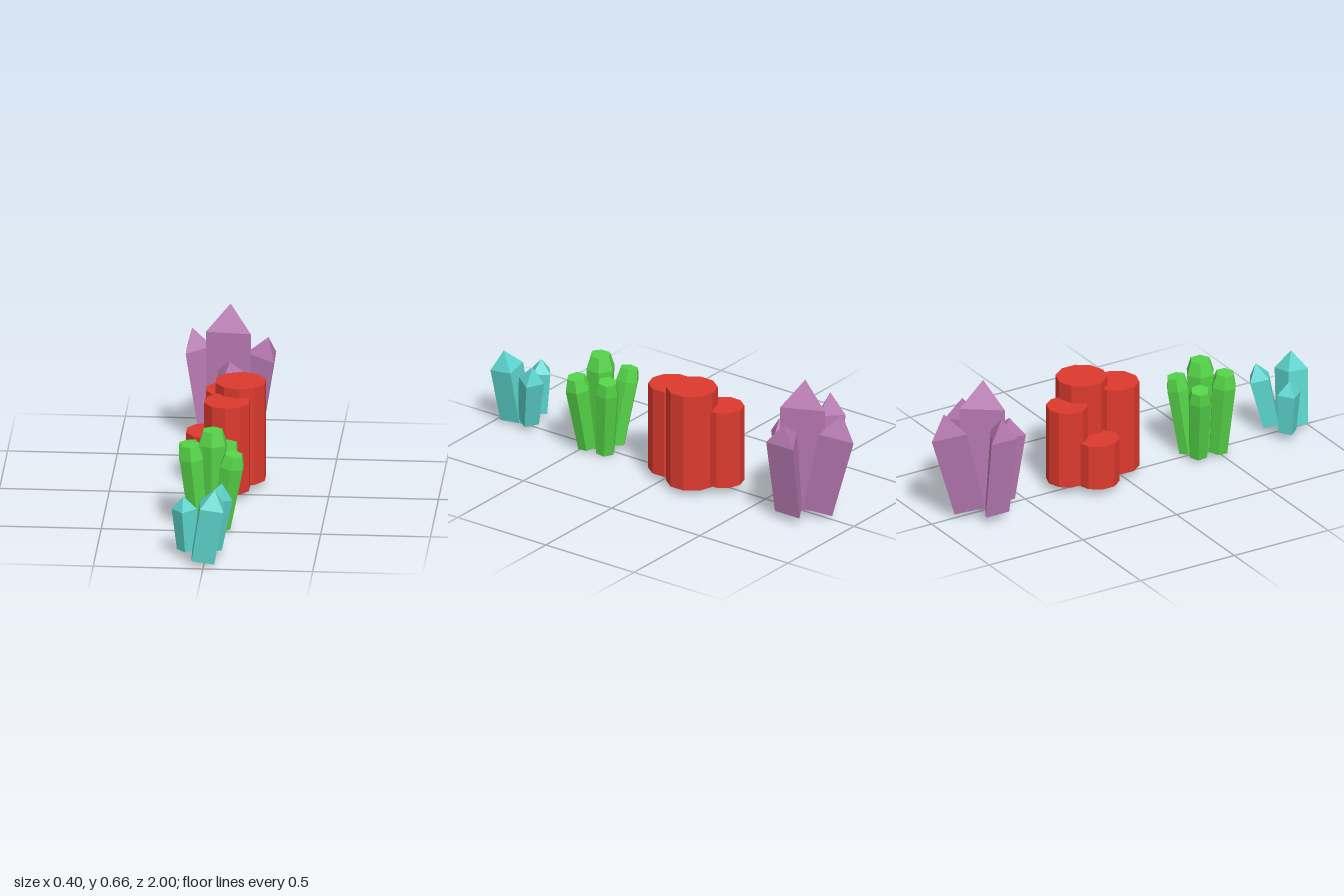
import * as THREE from 'three';

const UP = new THREE.Vector3(0, 1, 0);

// Faceted prism from a base point to a top point: r0 at the base, r1 at the
// shoulder (a fraction of the length), rTop at the end (0 gives a pointed tip).
function crystal(name, material, { base, top, shoulder, r0, r1, rTop = 0, sides, rot = 0 }) {
  const start = new THREE.Vector3(...base);
  const axis = new THREE.Vector3(...top).sub(start);
  const length = axis.length();
  const profile = [[0, 0], [r0, 0], [r1, length * shoulder], [rTop, length]];
  if (rTop > 0) profile.push([0, length]);
  const points = profile.map(([r, y]) => new THREE.Vector2(r, y));
  const geometry = new THREE.LatheGeometry(points, sides, rot).toNonIndexed();
  geometry.computeVertexNormals();
  const mesh = new THREE.Mesh(geometry, material);
  mesh.name = name;
  mesh.position.copy(start);
  mesh.quaternion.setFromUnitVectors(UP, axis.normalize());
  return mesh;
}

function cluster(name, color, shared, parts) {
  const material = new THREE.MeshStandardMaterial({ color, flatShading: true });
  const group = new THREE.Group();
  group.name = name;
  for (const [partName, options] of Object.entries(parts)) {
    group.add(crystal(partName, material, { ...shared, ...options }));
  }
  return group;
}

export function createModel() {
  const model = new THREE.Group();
  model.name = 'crystalClusters';

  // Three squat four-sided points
  model.add(cluster('cyanCluster', 0x5cd3cc, { sides: 4, shoulder: 0.76 }, {
    frontPoint: { base: [-0.005, 0.025, 0.92], top: [0.05, 0.365, 0.948], r0: 0.074, r1: 0.077, rot: 0.85 },
    rightPoint: { base: [-0.085, 0.04, 0.845], top: [-0.1, 0.295, 0.847], r0: 0.046, r1: 0.058, rot: -0.1 },
    backPoint: { base: [0.025, 0.035, 0.825], top: [0.07, 0.335, 0.772], r0: 0.05, r1: 0.062, rot: 0.26 },
  }));

  // Five hexagonal columns with chamfered flat tops
  model.add(cluster('greenCluster', 0x55d348, { sides: 6, shoulder: 0.84, r0: 0.046, r1: 0.061, rTop: 0.044 }, {
    centerColumn: { base: [0.003, 0.012, 0.435], top: [0.003, 0.468, 0.435], shoulder: 0.86, r0: 0.05, r1: 0.07, rTop: 0.049 },
    frontRightColumn: { base: [-0.056, 0.018, 0.495], top: [-0.092, 0.422, 0.508] },
    frontLeftColumn: { base: [0.048, 0.017, 0.475], top: [0.104, 0.377, 0.498] },
    backRightColumn: { base: [-0.052, 0.022, 0.39], top: [-0.117, 0.38, 0.36], r1: 0.056 },
    backLeftColumn: { base: [0.032, 0.008, 0.387], top: [0.068, 0.38, 0.345], r1: 0.056 },
  }));

  // Four upright ten-sided pillars of different heights
  const pillar = (x, z, r, bottom, top) => ({
    base: [x, bottom, z], top: [x, top, z], shoulder: 0.5, r0: r, r1: r, rTop: r,
  });
  model.add(cluster('redPillars', 0xdd3a2e, { sides: 10 }, {
    tallPillar: pillar(0.088, -0.147, 0.118, 0.03, 0.498),
    frontPillar: pillar(0.037, 0.006, 0.107, 0.033, 0.455),
    backPillar: pillar(0.013, -0.27, 0.095, 0.04, 0.412),
    shortPillar: pillar(-0.062, -0.155, 0.102, 0.035, 0.25),
  }));

  // Tall triangular spire ringed by four leaning ones
  model.add(cluster('purpleCluster', 0xb678b0, { sides: 3, shoulder: 0.8, r0: 0.078, r1: 0.088 }, {
    centerSpire: { base: [0, 0.035, -0.725], top: [0, 0.66, -0.725], shoulder: 0.805, r0: 0.12, r1: 0.12, rot: Math.PI - 0.1 },
    rightSpire: { base: [-0.105, 0.045, -0.735], top: [-0.176, 0.535, -0.735], r0: 0.072, r1: 0.079, rot: Math.PI / 2 },
    leftSpire: { base: [0.105, 0.045, -0.73], top: [0.172, 0.5, -0.73], r0: 0.08, rot: -Math.PI / 2 },
    backSpire: { base: [0, 0.04, -0.8], top: [0, 0.54, -0.935], r0: 0.08, r1: 0.094, rot: Math.PI },
    frontSpire: { base: [0.008, 0.04, -0.642], top: [0.005, 0.43, -0.582], r0: 0.08, rot: -0.35 },
  }));

  return model;
}
